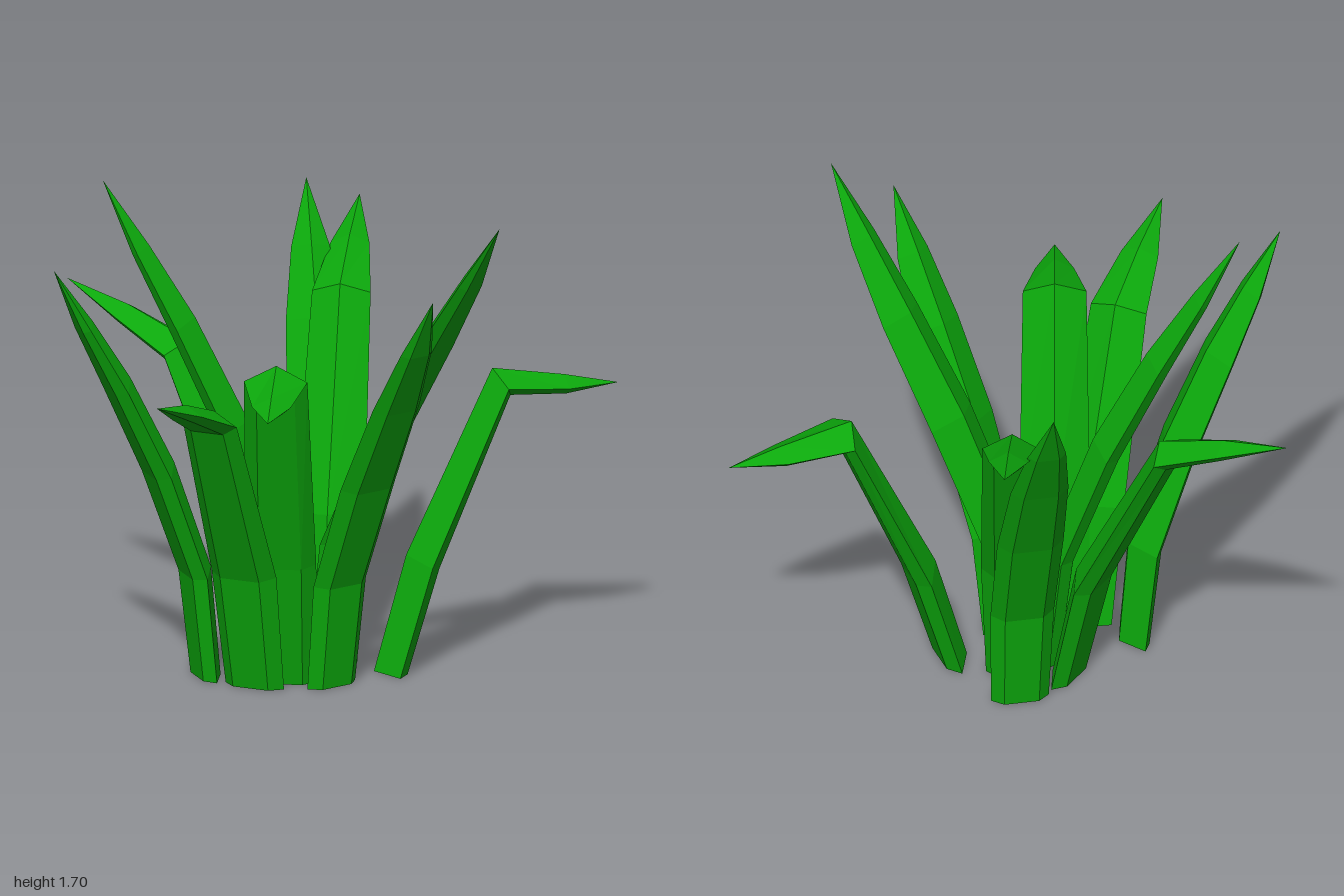
import * as THREE from 'three';

// Growth habits, ring by ring: [share of reach, share of height, half width]
const HABITS = {
  upright: [[0, 0, 0.1], [0.07, 0.25, 0.11], [0.31, 0.5, 0.115], [0.58, 0.71, 0.1], [0.8, 0.86, 0.066], [1, 1, 0]],
  leaning: [[0, 0, 0.108], [0.11, 0.35, 0.12], [0.46, 0.855, 0.1], [0.72, 0.93, 0.066], [1, 1, 0]],
  drooping: [[0, 0, 0.115], [0.14, 0.4, 0.12], [0.48, 1.04, 0.108], [0.76, 1.01, 0.066], [1, 1, 0]],
};

// Leaf section as [across, towards the upper face]: ridged above, flat keel below
const SECTION = [[1, 0], [0, 0.52], [-1, 0], [-0.6, -0.34], [0.6, -0.34]];

// [habit, base x, y, z, tip x, y, z, sideways bow]
const LEAVES = [
  ['upright', 0.09, 0.07, 0.165, 0.06, 1.7, 0.92, 0.05],
  ['upright', 0.03, 0, 0.06, -0.27, 1.7, -0.51, 0],
  ['upright', -0.035, 0, 0.28, -0.21, 1.49, 0.84, 0.025],
  ['upright', -0.2, 0, -0.125, -0.67, 1.49, -0.42, 0],
  ['upright', 0.32, 0, 0, 0.74, 1.49, -0.4, 0],
  ['leaning', 0.115, 0, -0.06, 0.08, 1.2, -0.92, 0],
  ['leaning', 0.19, 0, 0.09, 0.99, 1.38, -0.36, 0],
  ['leaning', -0.2, 0, 0.08, -1.0, 1.2, 0.26, 0],
  ['drooping', 0.23, 0, 0.335, 0.87, 0.95, 0.82, 0],
  ['drooping', -0.1, 0, 0.125, -0.68, 1.11, 0.49, 0],
];

function leafGeometry([habit, bx, by, bz, tx, ty, tz, bow]) {
  const up = new THREE.Vector3(0, 1, 0);
  const out = new THREE.Vector3(tx - bx, 0, tz - bz).normalize();
  const side = new THREE.Vector3().crossVectors(up, out);
  const rings = HABITS[habit];

  // Spine of the leaf
  const spine = rings.map(([r, h]) =>
    new THREE.Vector3(bx + (tx - bx) * r, by + (ty - by) * h, bz + (tz - bz) * r)
      .addScaledVector(side, bow * Math.sin(Math.PI * r)));

  // Cross-sections set square to the spine; the base is cut level
  const positions = [];
  spine.forEach((p, i) => {
    const next = spine[Math.min(i + 1, spine.length - 1)];
    const tangent = i === 0 ? up.clone() : next.clone().sub(p).normalize()
      .add(p.clone().sub(spine[i - 1]).normalize()).normalize();
    const normal = new THREE.Vector3().crossVectors(tangent, side).normalize();
    for (const [a, b] of SECTION) {
      const v = p.clone().addScaledVector(side, a * rings[i][2]).addScaledVector(normal, b * rings[i][2]);
      positions.push(v.x, v.y, v.z);
    }
  });

  const n = SECTION.length;
  const index = [];
  for (let i = 0; i < rings.length - 1; i++) {
    for (let j = 0; j < n; j++) {
      const a = i * n + j, b = i * n + (j + 1) % n;
      index.push(a, b, b + n);
      if (i < rings.length - 2) index.push(a, b + n, a + n); // last ring closes to a point
    }
  }
  // Base cap
  for (let j = 1; j < n - 1; j++) index.push(0, j + 1, j);

  const geometry = new THREE.BufferGeometry();
  geometry.setAttribute('position', new THREE.Float32BufferAttribute(positions, 3));
  geometry.setIndex(index);
  const faceted = geometry.toNonIndexed();
  faceted.computeVertexNormals();
  return faceted;
}

export function createModel() {
  const plant = new THREE.Group();
  plant.name = 'leafyPlant';
  const green = new THREE.MeshStandardMaterial({ color: 0x0ca80c, flatShading: true });
  LEAVES.forEach((leaf, i) => {
    const mesh = new THREE.Mesh(leafGeometry(leaf), green);
    mesh.name = `${leaf[0]}Leaf${i + 1}`;
    plant.add(mesh);
  });
  return plant;
}
